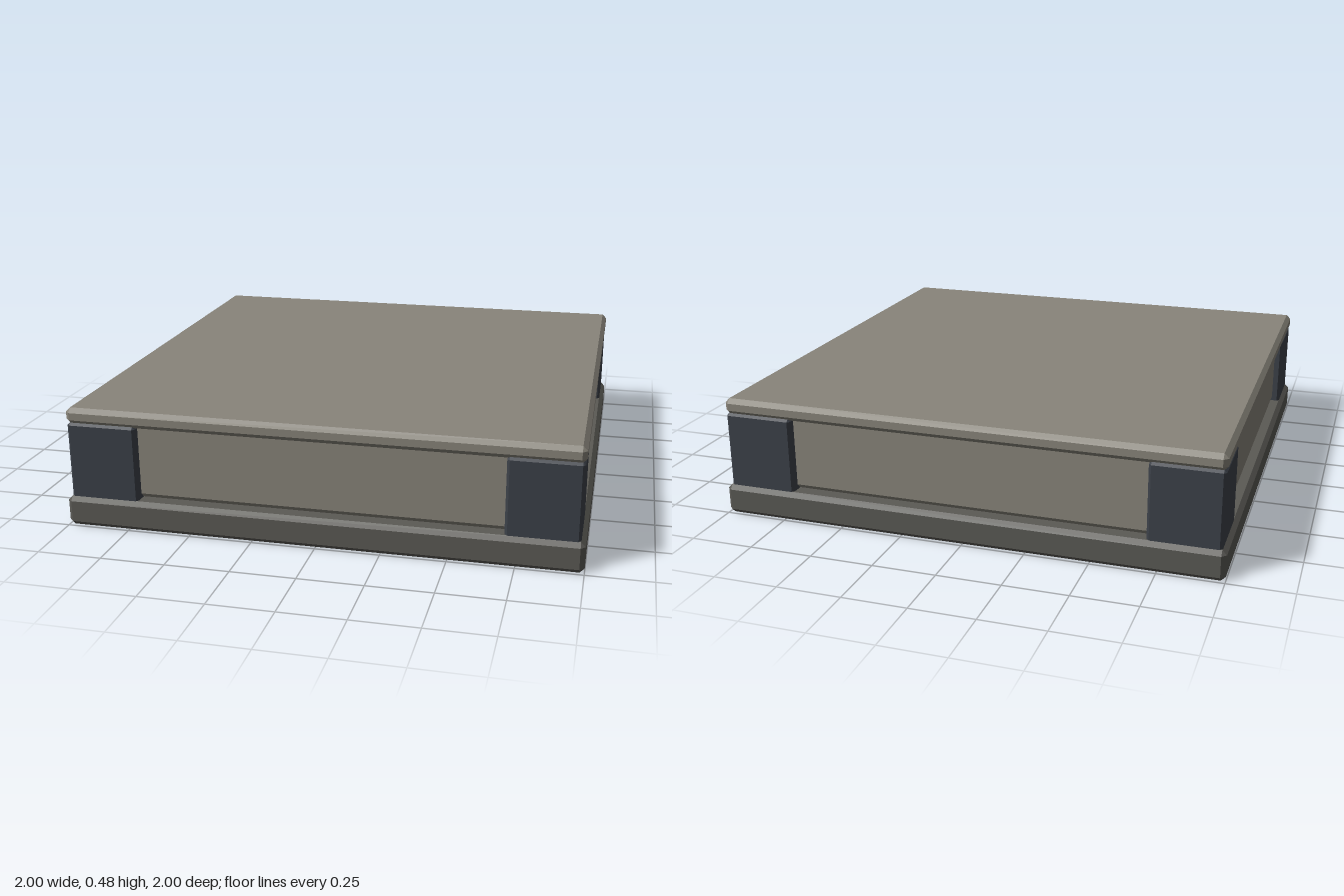
import * as THREE from 'three';
import { ConvexGeometry } from 'three/addons/geometries/ConvexGeometry.js';

const mat = (name, color) => new THREE.MeshStandardMaterial({ name, color });

// Box with every edge and corner chamfered by c, spanning y0 to y1
function chamferBox(name, material, w, y0, y1, c, x = 0, z = 0) {
  const a = w / 2, h = (y1 - y0) / 2, points = [];
  for (const sx of [-1, 1]) for (const sy of [-1, 1]) for (const sz of [-1, 1]) {
    points.push(
      new THREE.Vector3(sx * a, sy * (h - c), sz * (a - c)),
      new THREE.Vector3(sx * (a - c), sy * h, sz * (a - c)),
      new THREE.Vector3(sx * (a - c), sy * (h - c), sz * a));
  }
  const mesh = new THREE.Mesh(new ConvexGeometry(points), material);
  mesh.name = name;
  mesh.position.set(x, (y0 + y1) / 2, z);
  return mesh;
}

export function createModel() {
  const stone = mat('warm grey stone', 0x89857b);
  const plinth = mat('dark grey stone', 0x5b5a55);
  const slate = mat('blue slate', 0x3c4149);
  const group = new THREE.Group();
  group.name = 'platform';

  // Plinth, recessed core and overhanging slab
  group.add(chamferBox('base', plinth, 2, 0, 0.12, 0.018));
  group.add(chamferBox('core', stone, 1.9, 0.11, 0.44, 0.03));
  group.add(chamferBox('topSlab', stone, 1.974, 0.415, 0.48, 0.018));

  // Corner posts
  for (const sx of [-1, 1]) for (const sz of [-1, 1]) {
    group.add(chamferBox('cornerPost', slate, 0.276, 0.02, 0.42, 0.01, sx * 0.845, sz * 0.845));
  }
  return group;
}
